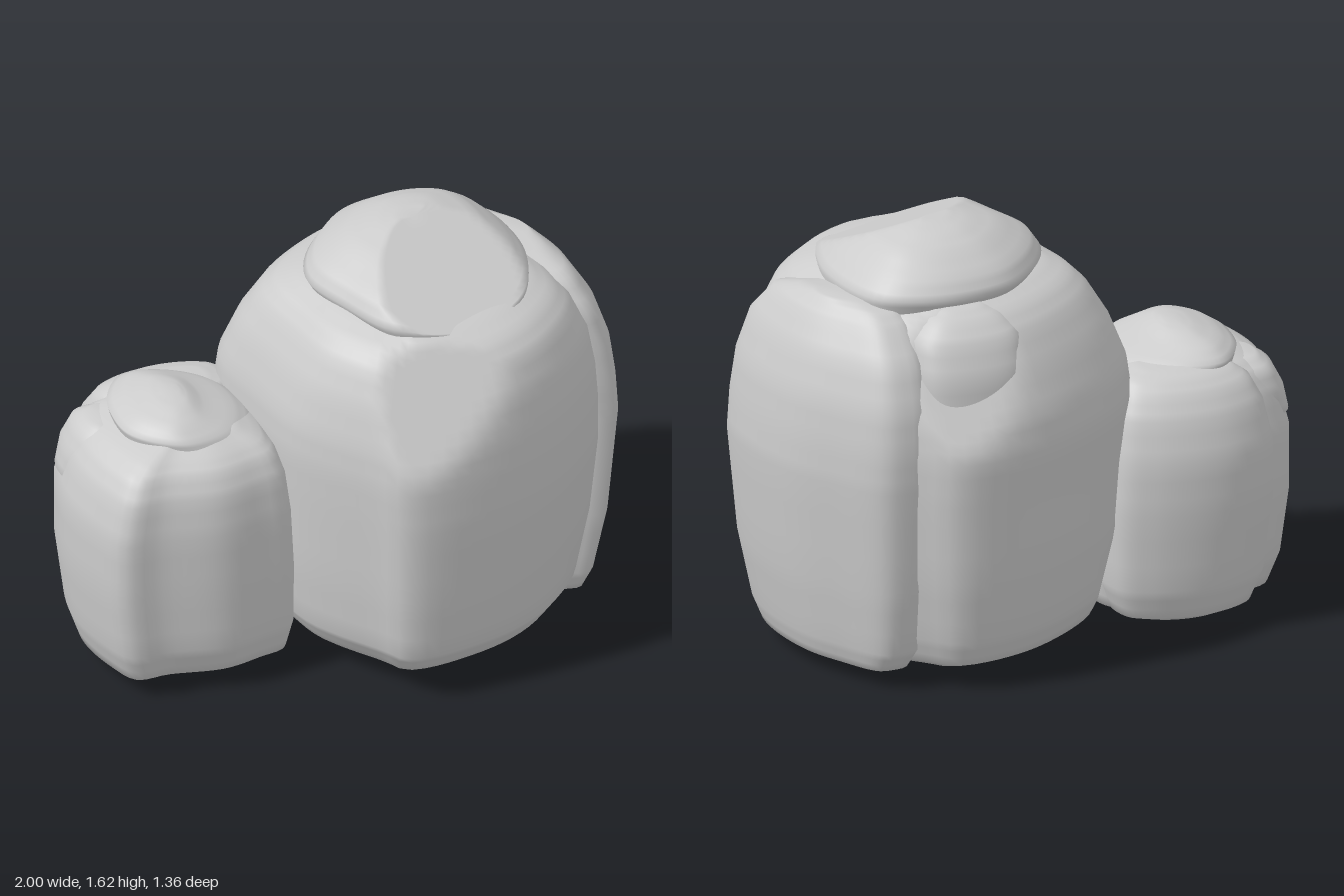
import * as THREE from 'three';

const material = new THREE.MeshStandardMaterial({ color: 0xcccccc });
const SEGMENTS = 72;
const STEPS = 3;

// Smooth closed plan outline, resampled and normalised to its bounding box.
function planOutline(points) {
  const curve = new THREE.CatmullRomCurve3(
    points.map(([x, z]) => new THREE.Vector3(x, 0, z)), true, 'centripetal');
  const ring = curve.getSpacedPoints(SEGMENTS).slice(0, SEGMENTS)
    .map(p => new THREE.Vector2(p.x, p.z));
  if (THREE.ShapeUtils.area(ring) > 0) ring.reverse();
  const box = new THREE.Box2().setFromPoints(ring);
  const size = box.getSize(new THREE.Vector2());
  return ring.map(p => p.sub(box.min).divide(size));
}

// Plane that shears a facet off a stone.
function facet(normal, point) {
  return new THREE.Plane().setFromNormalAndCoplanarPoint(
    new THREE.Vector3(...normal).normalize(), new THREE.Vector3(...point));
}

// Stone lofted from one plan outline; each level is [y, xMin, xMax, zMin, zMax].
function stone(name, outline, levels, facets = []) {
  const ring = planOutline(outline);
  const positions = [], index = [];
  const addPoint = (x, y, z) => {
    const p = new THREE.Vector3(x, y, z);
    for (const plane of facets) {
      if (plane.distanceToPoint(p) > 0) plane.projectPoint(p.clone(), p);
    }
    positions.push(p.x, p.y, p.z);
  };
  const rows = (levels.length - 1) * STEPS;
  for (let i = 0; i <= rows; i++) {
    const k = Math.min(Math.floor(i / STEPS), levels.length - 2);
    const [y, x0, x1, z0, z1] = levels[k].map(
      (v, n) => THREE.MathUtils.lerp(v, levels[k + 1][n], i / STEPS - k));
    for (const p of ring) addPoint(x0 + (x1 - x0) * p.x, y, z0 + (z1 - z0) * p.y);
  }
  for (let i = 0; i < rows; i++) {
    for (let j = 0; j < SEGMENTS; j++) {
      const a = i * SEGMENTS + j, b = i * SEGMENTS + (j + 1) % SEGMENTS;
      index.push(a, b, a + SEGMENTS, b, b + SEGMENTS, a + SEGMENTS);
    }
  }
  // Close the bottom and the top with a fan
  [0, rows].forEach((row, end) => {
    const [y, x0, x1, z0, z1] = levels[row / STEPS];
    const centre = positions.length / 3;
    addPoint((x0 + x1) / 2, y, (z0 + z1) / 2);
    for (let j = 0; j < SEGMENTS; j++) {
      const a = row * SEGMENTS + j, b = row * SEGMENTS + (j + 1) % SEGMENTS;
      if (end) index.push(a, b, centre);
      else index.push(b, a, centre);
    }
  });
  const geometry = new THREE.BufferGeometry();
  geometry.setAttribute('position', new THREE.Float32BufferAttribute(positions, 3));
  geometry.setIndex(index);
  geometry.computeVertexNormals();
  const mesh = new THREE.Mesh(geometry, material);
  mesh.name = name;
  return mesh;
}

const KNOB = [[-1, 0], [-0.75, 0.8], [0, 1], [0.75, 0.8], [1, 0], [0.75, -0.8], [0, -1], [-0.75, -0.8]];

function createLargeRock() {
  const rock = new THREE.Group();
  rock.name = 'largeRock';

  // Main mass with a sharp front corner, sheared at the shoulders and the right corner
  rock.add(stone('largeBody', [
    [-0.38, -0.22], [-0.3, -0.38], [0, -0.6], [0.25, -0.68], [0.43, -0.68], [0.52, -0.61],
    [0.68, -0.48], [0.82, -0.3], [0.9, -0.05], [0.91, 0.22], [0.75, 0.44], [0.56, 0.57],
    [0.3, 0.65], [0.12, 0.67], [0.04, 0.65], [-0.02, 0.57], [-0.17, 0.4], [-0.25, 0.28], [-0.32, 0.05],
  ], [
    [0, 0.22, 0.5, -0.12, 0.15],
    [0.03, 0, 0.62, -0.32, 0.33],
    [0.07, -0.15, 0.73, -0.5, 0.47],
    [0.1, -0.25, 0.78, -0.57, 0.55],
    [0.2, -0.31, 0.83, -0.61, 0.63],
    [0.45, -0.35, 0.88, -0.65, 0.66],
    [0.75, -0.37, 0.91, -0.67, 0.68],
    [0.92, -0.38, 0.91, -0.68, 0.68],
    [1.05, -0.365, 0.9, -0.66, 0.67],
    [1.2, -0.31, 0.87, -0.6, 0.64],
    [1.32, -0.24, 0.81, -0.53, 0.59],
    [1.38, -0.18, 0.75, -0.46, 0.52],
    [1.42, -0.09, 0.68, -0.36, 0.4],
    [1.45, 0.05, 0.58, -0.2, 0.24],
  ], [
    facet([-0.13, 0.5, 0.85], [0.1, 1, 0.66]),
    facet([0.15, 0.5, -0.84], [0.3, 1, -0.66]),
    facet([-0.98, -0.2, 0], [-0.23, 0.2, 0]),
  ]));

  // Slab on the left flank
  rock.add(stone('flankSlab', [
    [0.5, -0.56], [0.58, -0.58], [0.66, -0.57], [0.8, -0.42], [0.92, -0.25], [1, 0],
    [1, 0.17], [0.96, 0.24], [0.9, 0.24], [0.6, 0.15], [0.42, -0.3],
  ], [
    [0.05, 0.52, 0.8, -0.38, 0.1],
    [0.07, 0.48, 0.88, -0.46, 0.19],
    [0.15, 0.45, 0.91, -0.51, 0.22],
    [0.4, 0.43, 0.96, -0.55, 0.24],
    [0.8, 0.42, 1, -0.58, 0.24],
    [0.95, 0.42, 0.99, -0.58, 0.24],
    [1.1, 0.42, 0.97, -0.56, 0.23],
    [1.25, 0.43, 0.92, -0.5, 0.21],
    [1.36, 0.46, 0.85, -0.4, 0.14],
    [1.4, 0.5, 0.79, -0.34, 0.02],
    [1.42, 0.58, 0.75, -0.25, -0.1],
  ]));

  // Crown: flat at the back, falling away to the front
  rock.add(stone('largeCrown', [
    [-0.1, 0], [-0.08, -0.12], [0, -0.25], [0.13, -0.36], [0.32, -0.4], [0.48, -0.38],
    [0.6, -0.32], [0.67, -0.19], [0.7, 0.05], [0.6, 0.3], [0.32, 0.43], [0.1, 0.38], [-0.03, 0.17],
  ], [
    [1.25, 0.02, 0.62, -0.3, 0.36],
    [1.37, -0.06, 0.69, -0.37, 0.42],
    [1.44, -0.1, 0.69, -0.4, 0.43],
    [1.5, -0.06, 0.63, -0.36, 0.38],
    [1.57, 0.06, 0.54, -0.27, 0.24],
    [1.605, 0.17, 0.43, -0.19, 0.12],
    [1.62, 0.25, 0.36, -0.09, 0.02],
  ], [facet([0.15, 0.9, 0.4], [0.3, 1.4, 0.44])]));

  // Small lump under the crown at the back
  rock.add(stone('largeBackLump', KNOB, [
    [1, 0.18, 0.44, -0.56, -0.3],
    [1.05, 0.11, 0.5, -0.59, -0.26],
    [1.2, 0.09, 0.52, -0.58, -0.25],
    [1.32, 0.1, 0.51, -0.53, -0.25],
    [1.38, 0.16, 0.45, -0.47, -0.25],
    [1.41, 0.24, 0.38, -0.41, -0.3],
  ]));
  return rock;
}

function createSmallRock() {
  const rock = new THREE.Group();
  rock.name = 'smallRock';

  // Main mass
  rock.add(stone('smallBody', [
    [-1, 0], [-0.99, -0.15], [-0.95, -0.27], [-0.88, -0.31], [-0.6, -0.35], [-0.3, -0.3],
    [-0.23, 0], [-0.25, 0.28], [-0.36, 0.32], [-0.52, 0.36], [-0.75, 0.33], [-0.88, 0.33], [-0.95, 0.2],
  ], [
    [0.03, -0.68, -0.45, -0.12, 0.12],
    [0.05, -0.83, -0.35, -0.22, 0.23],
    [0.08, -0.93, -0.24, -0.28, 0.31],
    [0.2, -0.97, -0.22, -0.32, 0.35],
    [0.45, -1, -0.22, -0.34, 0.36],
    [0.68, -1, -0.23, -0.34, 0.36],
    [0.83, -0.96, -0.25, -0.32, 0.34],
    [0.91, -0.91, -0.28, -0.29, 0.3],
    [0.95, -0.84, -0.32, -0.25, 0.25],
    [0.99, -0.7, -0.42, -0.16, 0.17],
  ]));

  // Slab against the back
  rock.add(stone('smallBackSlab', [
    [-0.87, -0.3], [-0.85, -0.38], [-0.73, -0.45], [-0.58, -0.47], [-0.4, -0.44],
    [-0.3, -0.38], [-0.28, -0.2], [-0.55, -0.1], [-0.8, -0.18],
  ], [
    [0.04, -0.72, -0.4, -0.33, -0.12],
    [0.08, -0.8, -0.3, -0.4, -0.1],
    [0.2, -0.84, -0.26, -0.44, -0.1],
    [0.5, -0.87, -0.25, -0.47, -0.1],
    [0.7, -0.87, -0.26, -0.47, -0.1],
    [0.85, -0.84, -0.28, -0.43, -0.1],
    [0.93, -0.8, -0.31, -0.38, -0.1],
    [0.97, -0.74, -0.34, -0.33, -0.1],
    [0.99, -0.64, -0.42, -0.27, -0.14],
  ]));

  // Crown
  rock.add(stone('smallCrown', [
    [-0.81, -0.05], [-0.79, -0.18], [-0.7, -0.3], [-0.57, -0.29], [-0.42, -0.18],
    [-0.38, 0], [-0.45, 0.17], [-0.6, 0.22], [-0.7, 0.18], [-0.79, 0.08],
  ], [
    [0.9, -0.75, -0.3, -0.26, 0.18],
    [0.95, -0.8, -0.32, -0.3, 0.22],
    [0.99, -0.81, -0.38, -0.29, 0.21],
    [1.03, -0.75, -0.49, -0.23, 0.16],
    [1.06, -0.67, -0.54, -0.14, 0.08],
    [1.07, -0.62, -0.57, -0.06, 0],
  ]));

  // Small lump on the right shoulder
  rock.add(stone('smallShoulderLump', KNOB, [
    [0.68, -0.95, -0.75, -0.2, -0.05],
    [0.74, -0.985, -0.72, -0.26, 0],
    [0.83, -0.965, -0.72, -0.27, 0.02],
    [0.91, -0.925, -0.72, -0.25, 0],
    [0.95, -0.87, -0.74, -0.19, -0.05],
  ]));
  return rock;
}

export function createModel() {
  const model = new THREE.Group();
  model.name = 'rockPair';
  model.add(createLargeRock(), createSmallRock());
  return model;
}
